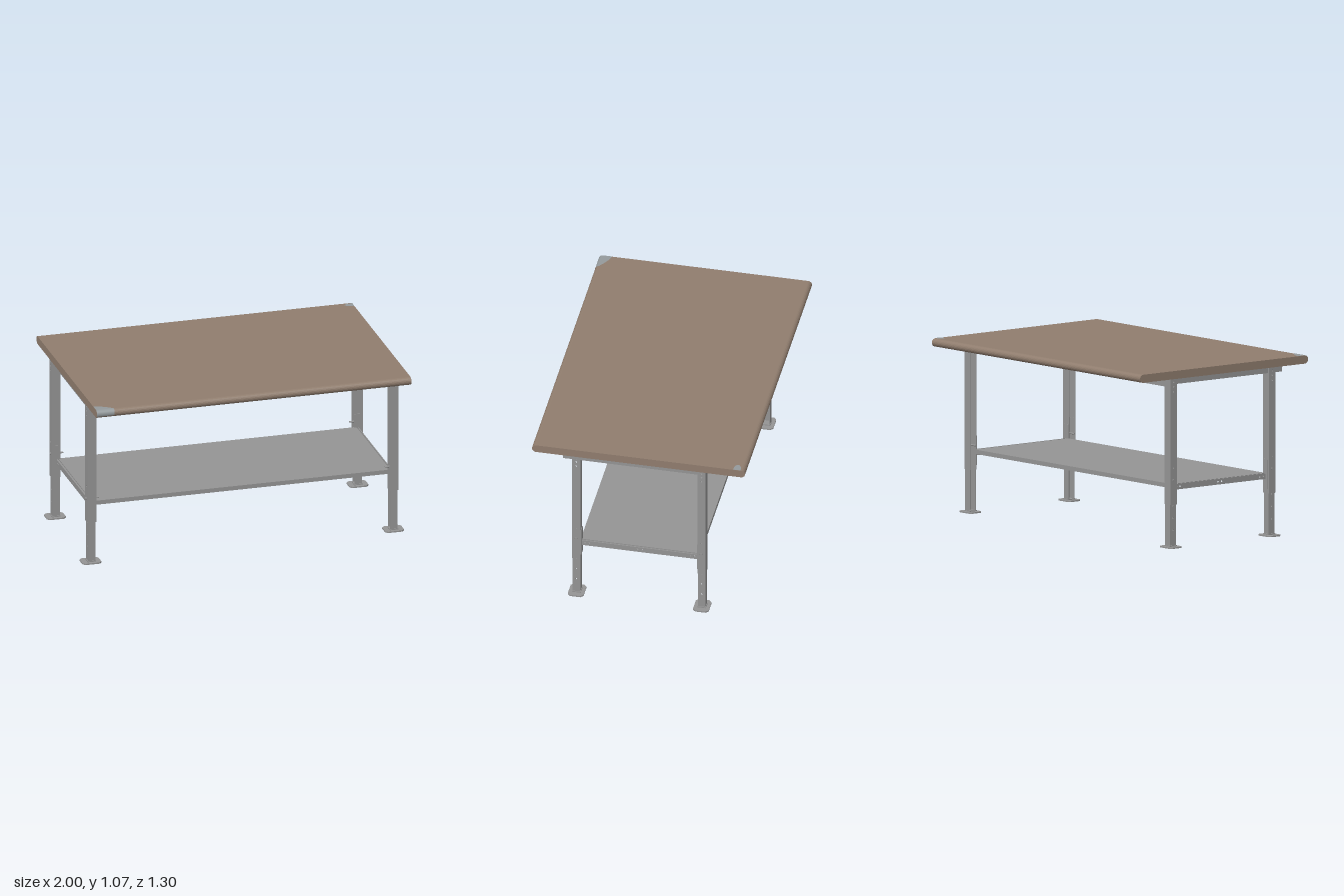
import * as THREE from 'three';

const steel = new THREE.MeshStandardMaterial({ color: 0x949494, side: THREE.DoubleSide });
steel.name = 'grey steel';
const wood = new THREE.MeshStandardMaterial({ color: 0x907d6e });
wood.name = 'brown worktop';
const patch = new THREE.MeshStandardMaterial({ color: 0x949a9c, side: THREE.DoubleSide });
patch.name = 'pale grey patch';

function add(parent, name, geometry, material = steel) {
  const mesh = new THREE.Mesh(geometry, material);
  mesh.name = name;
  parent.add(mesh);
  return mesh;
}

// Box between two opposite corners, given in any order per axis
function box(parent, name, x0, x1, y0, y1, z0, z1, material) {
  const g = new THREE.BoxGeometry(Math.abs(x1 - x0), Math.abs(y1 - y0), Math.abs(z1 - z0));
  g.translate((x0 + x1) / 2, (y0 + y1) / 2, (z0 + z1) / 2);
  return add(parent, name, g, material);
}

// Vertical plate in the z-y plane, with round holes [z, y, radius], outer face at x
function holedPlate(parent, name, x, thick, z0, z1, y0, y1, holes) {
  const s = new THREE.Shape();
  s.moveTo(-z1, y0).lineTo(-z0, y0).lineTo(-z0, y1).lineTo(-z1, y1).closePath();
  for (const [z, y, r] of holes) s.holes.push(new THREE.Path().absarc(-z, y, r, 0, Math.PI * 2, true));
  const g = new THREE.ExtrudeGeometry(s, { depth: thick, bevelEnabled: false, curveSegments: 6 });
  g.rotateY(Math.PI / 2).translate(x - thick, 0, 0);
  return add(parent, name, g);
}

// Channel open towards -x
function channel(parent, name, xIn, xOut, half, y0, y1, holes) {
  const t = 0.005;
  holedPlate(parent, name + 'Web', xOut, t, -half, half, y0, y1, holes);
  for (const s of [-1, 1]) {
    box(parent, name + 'Flange', xIn, xOut - t, y0, y1, s * (half - t), s * half);
  }
}

function makeLeg() {
  const leg = new THREE.Group();
  leg.name = 'leg';
  channel(leg, 'outerLeg', 0.912, 0.967, 0.025, 0.26, 1.018,
    [[0, 1.0, 0.006], [0, 0.973, 0.006], [0, 0.943, 0.005], [0, 0.485, 0.005]]);
  channel(leg, 'innerLeg', 0.917, 0.961, 0.0235, 0.008, 0.5,
    [[0, 0.255, 0.005], [0, 0.18, 0.005], [0, 0.105, 0.005]]);

  // Foot plate with cut corners
  const hx = 0.059, hz = 0.048, c = 0.016;
  const s = new THREE.Shape([
    [-hx + c, -hz], [hx - c, -hz], [hx, -hz + c], [hx, hz - c],
    [hx - c, hz], [-hx + c, hz], [-hx, hz - c], [-hx, -hz + c],
  ].map(p => new THREE.Vector2(...p)));
  const plate = new THREE.ExtrudeGeometry(s, { depth: 0.008, bevelEnabled: false });
  plate.rotateX(-Math.PI / 2).translate(0.941, 0, 0);
  add(leg, 'footPlate', plate);
  box(leg, 'footSocket', 0.913, 0.966, 0.008, 0.014, -0.027, 0.027);

  // Height-setting bolt
  const shaft = new THREE.CylinderGeometry(0.005, 0.005, 0.084, 10).rotateZ(Math.PI / 2);
  add(leg, 'bolt', shaft.translate(0.932, 0.408, 0));
  const head = new THREE.CylinderGeometry(0.009, 0.009, 0.006, 6).rotateZ(Math.PI / 2);
  add(leg, 'boltHead', head.translate(0.97, 0.408, 0));
  return leg;
}

// Half-round nose outline, from the underside to the top surface
function nosePoints(side, r, steps = 10) {
  const pts = [];
  for (let i = 0; i <= steps; i++) {
    const a = -Math.PI / 2 + Math.PI * i / steps;
    pts.push(new THREE.Vector2(side * (0.6255 + Math.cos(a) * r), 1.0445 + Math.sin(a) * r));
  }
  return pts;
}

export function createModel() {
  const model = new THREE.Group();
  model.name = 'workbench';

  // Worktop with rounded front and back edges
  const r = 0.0245;
  const outline = new THREE.Shape([...nosePoints(1, r), ...nosePoints(-1, r).reverse()]);
  const topGeo = new THREE.ExtrudeGeometry(outline, { depth: 1.956, bevelEnabled: false });
  topGeo.rotateY(-Math.PI / 2).translate(0.978, 0, 0);
  add(model, 'worktop', topGeo, wood);

  // Grey patch on the front right corner, wrapping over the edge
  const corner = new THREE.Shape();
  corner.moveTo(-0.978, -0.63).lineTo(-0.868, -0.63).lineTo(-0.9, -0.605)
    .lineTo(-0.94, -0.582).lineTo(-0.978, -0.57).closePath();
  add(model, 'cornerPatch', new THREE.ShapeGeometry(corner).rotateX(-Math.PI / 2).translate(0, 1.0705, 0), patch);
  const wrap = new THREE.CylinderGeometry(0.0255, 0.0255, 0.11, 10, 1, true, 0, Math.PI * 0.65);
  wrap.rotateZ(Math.PI / 2).rotateX(0);
  wrap.computeBoundingBox();
  // Curve runs from the front face up over the edge
  const pos = wrap.attributes.position;
  for (let i = 0; i < pos.count; i++) {
    const a = Math.PI / 2 - (1 - wrap.attributes.uv.getX(i)) * Math.PI * 0.65;
    pos.setXYZ(i, pos.getX(i) - 0.923, 1.0445 + Math.sin(a) * 0.0255, 0.6255 + Math.cos(a) * 0.0255);
  }
  wrap.computeVertexNormals();
  add(model, 'cornerPatchEdge', wrap, patch);

  // Small rounded patch by the back left corner
  const spot = new THREE.Shape().absellipse(0.978, 0.6, 0.054, 0.023, Math.PI / 2, Math.PI * 1.5, false);
  add(model, 'backPatch', new THREE.ShapeGeometry(spot).rotateX(-Math.PI / 2).translate(0, 1.0705, 0), patch);

  // Four legs
  for (const turn of [0, Math.PI]) {
    for (const z of [-0.382, 0.382]) {
      const leg = makeLeg();
      leg.rotation.y = turn;
      leg.position.z = z;
      model.add(leg);
    }
  }

  // Long rails under the worktop, L-shaped
  for (const s of [-1, 1]) {
    box(model, 'longRail', -0.915, 0.915, 0.97, 1.016, s * 0.397, s * 0.403);
    box(model, 'longRailTop', -0.915, 0.915, 1.01, 1.016, s * 0.36, s * 0.397);
    box(model, 'longRailLip', -0.915, 0.915, 0.97, 0.975, s * 0.38, s * 0.397);
  }

  // End rails under the worktop, running past the front legs
  for (const s of [-1, 1]) {
    box(model, 'endRail', s * 0.953, s * 0.959, 0.986, 1.018, -0.36, 0.465);
    box(model, 'endRailTop', s * 0.92, s * 0.953, 1.012, 1.018, -0.36, 0.465);
    box(model, 'endRailLip', s * 0.935, s * 0.953, 0.986, 0.991, -0.36, 0.455);
  }

  // Lower shelf pan with folded lips
  box(model, 'shelf', -0.925, 0.925, 0.373, 0.379, -0.362, 0.362);
  for (const s of [-1, 1]) {
    box(model, 'shelfLip', -0.912, 0.912, 0.353, 0.379, s * 0.357, s * 0.363);
    box(model, 'shelfReturn', -0.912, 0.912, 0.353, 0.357, s * 0.335, s * 0.357);
  }

  // Shelf end rails with paired holes
  const holes = [0.335, 0.308, 0.014, -0.014, -0.308, -0.335].map(z => [z, 0.363, 0.006]);
  for (const turn of [0, Math.PI]) {
    const rail = new THREE.Group();
    rail.name = 'shelfEndRail';
    holedPlate(rail, 'railWeb', 0.94, 0.006, -0.358, 0.358, 0.345, 0.379, holes);
    box(rail, 'railTop', 0.905, 0.935, 0.367, 0.372, -0.358, 0.358);
    box(rail, 'railLip', 0.915, 0.935, 0.345, 0.349, -0.358, 0.358);
    for (const s of [-1, 1]) {
      box(rail, 'railBracket', 0.915, 0.955, 0.285, 0.465, s * 0.353, s * 0.358);
    }
    rail.rotation.y = turn;
    model.add(rail);
  }

  return model;
}
